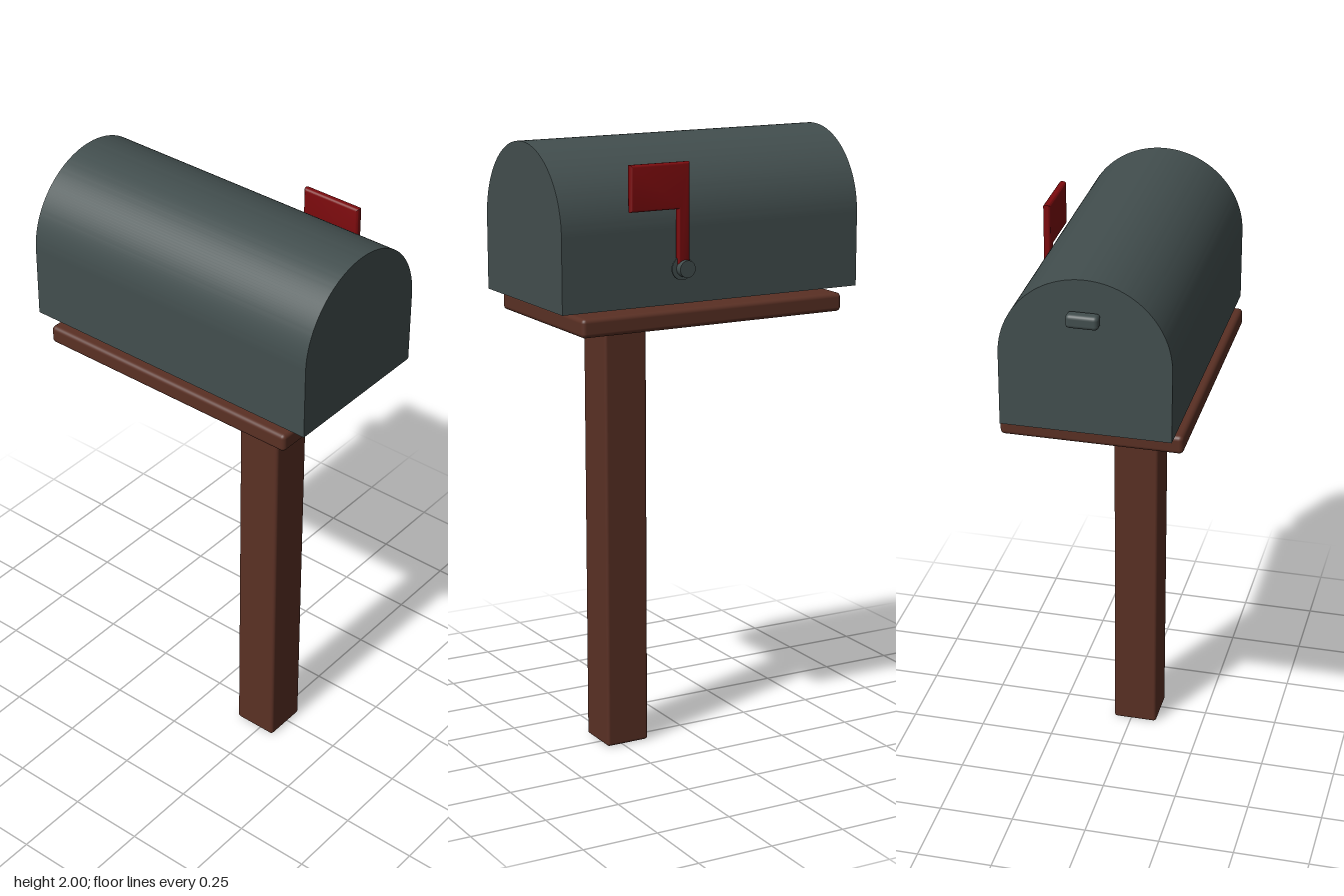
import * as THREE from 'three';
import { toCreasedNormals } from 'three/addons/utils/BufferGeometryUtils.js';
import { RoundedBoxGeometry } from 'three/addons/geometries/RoundedBoxGeometry.js';

const CX = -0.015; // middle of the box, board and post

function material(name, color) {
  const m = new THREE.MeshStandardMaterial({ color });
  m.name = name;
  return m;
}

// Rounded box given by its lower and upper corners
function block(name, min, max, radius, mat) {
  const size = max.map((v, i) => v - min[i]);
  const mesh = new THREE.Mesh(new RoundedBoxGeometry(...size, 3, radius), mat);
  mesh.position.set(...max.map((v, i) => (v + min[i]) / 2));
  mesh.name = name;
  return mesh;
}

// Cylinder lying along x between two x positions
function disc(name, radius, x0, x1, y, z, mat) {
  const geo = new THREE.CylinderGeometry(radius, radius, x1 - x0, 32).rotateZ(-Math.PI / 2);
  const mesh = new THREE.Mesh(geo, mat);
  mesh.position.set((x0 + x1) / 2, y, z);
  mesh.name = name;
  return mesh;
}

export function createModel() {
  const steel = material('dark grey steel', 0x424e4e);
  const wood = material('brown wood', 0x5a3024);
  const red = material('flag red', 0x7c0a0d);

  const model = new THREE.Group();
  model.name = 'mailbox';

  // Post and board
  model.add(block('post', [-0.09, 0, 0.155], [0.06, 1.5, 0.305], 0.01, wood));
  model.add(block('board', [-0.3, 1.425, -0.445], [0.271, 1.485, 0.49], 0.014, wood));

  // Arched box
  const r = 0.265;
  const arch = new THREE.Shape();
  arch.moveTo(-r, 1.5);
  arch.lineTo(r, 1.5);
  arch.lineTo(r, 2 - r);
  arch.absarc(0, 2 - r, r, 0, Math.PI, false);
  arch.closePath();
  const archGeo = new THREE.ExtrudeGeometry(arch, { depth: 1.06, bevelEnabled: false, curveSegments: 48 });
  const body = new THREE.Mesh(toCreasedNormals(archGeo, 0.5), steel);
  body.position.set(CX, 0, -0.512);
  body.name = 'box';
  model.add(body);

  // Handle at the back
  model.add(block('handle', [-0.066, 1.858, -0.552], [0.034, 1.902, -0.512], 0.013, steel));

  // Signal flag: arm and plate in one bevelled piece
  const outline = [[0.122, 1.6], [0.162, 1.6], [0.162, 1.8], [0.328, 1.8], [0.328, 1.944], [0.122, 1.944]];
  const flagShape = new THREE.Shape(outline.map(([z, y]) => new THREE.Vector2(z, y)));
  const flagGeo = new THREE.ExtrudeGeometry(flagShape, {
    depth: 0.008, bevelThickness: 0.008, bevelSize: 0.008, bevelOffset: -0.008, bevelSegments: 3,
  }).rotateY(-Math.PI / 2);
  const flag = new THREE.Mesh(toCreasedNormals(flagGeo, 0.7), red);
  flag.position.x = 0.274;
  flag.name = 'flag';
  model.add(flag);

  // Flag pivot
  model.add(disc('pivotWasher', 0.037, 0.268, 0.274, 1.615, 0.144, steel));
  model.add(disc('pivotKnob', 0.027, 0.25, 0.298, 1.615, 0.139, steel));

  return model;
}
